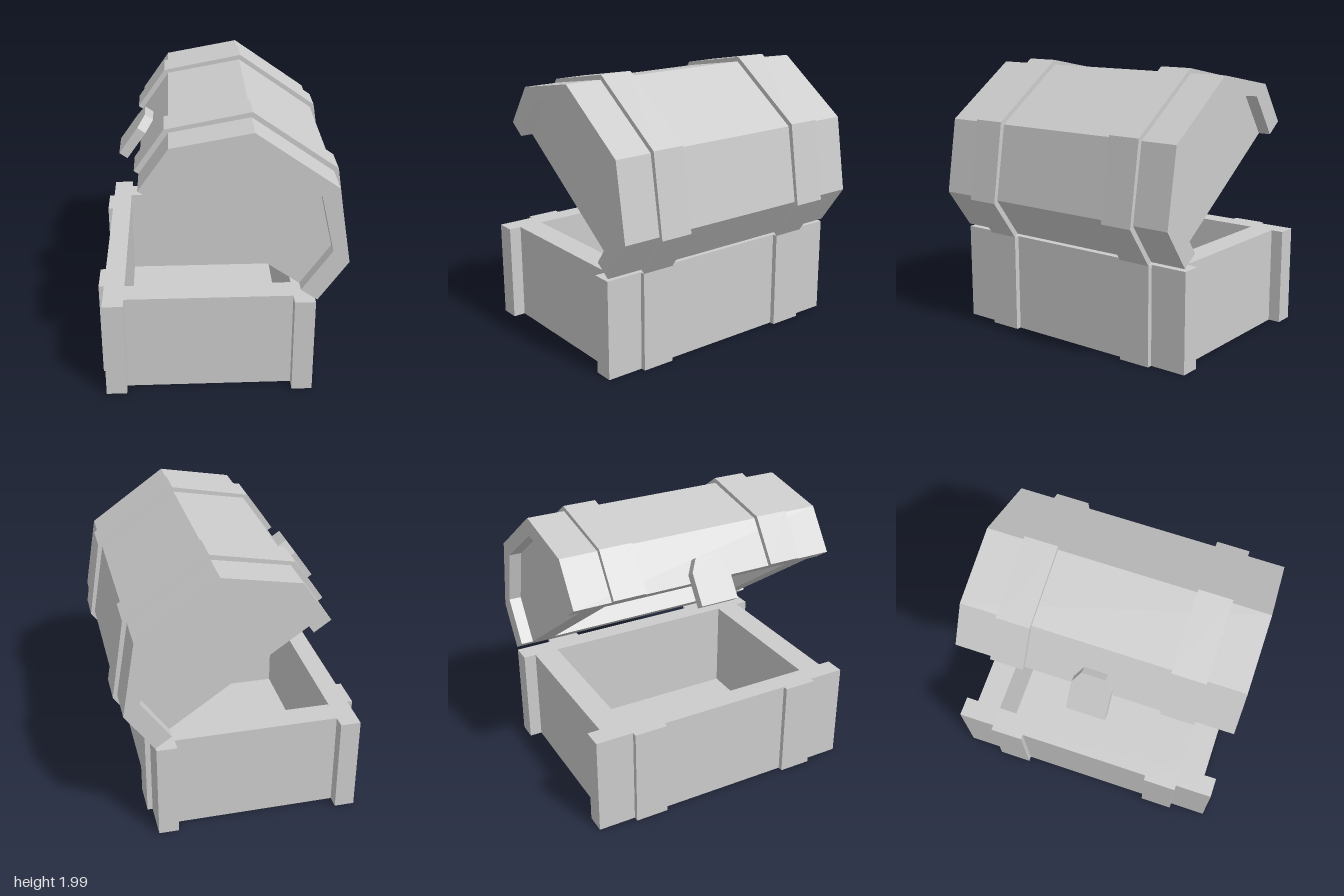
import * as THREE from 'three';

const material = new THREE.MeshStandardMaterial({ color: 0xcccccc, flatShading: true, side: THREE.DoubleSide });

function part(name, geometry) {
  const mesh = new THREE.Mesh(geometry, material);
  mesh.name = name;
  return mesh;
}

const toShape = (pts) => new THREE.Shape(pts.map(([x, y]) => new THREE.Vector2(x, y)));

// Mirror the right half of an arch profile onto the left
const arch = (half) => [...half, ...half.map(([x, y]) => [-x, y]).reverse()];

// Mirror one quarter of a plan outline into a full closed loop
function fullLoop(quarter) {
  const flip = (sx, sy) => quarter.map(([x, y]) => [x * sx, y * sy]);
  return [...quarter, ...flip(-1, 1).reverse(), ...flip(-1, -1), ...flip(1, -1).reverse()];
}

// Upright walls following a closed plan loop
function walls(loop, y0, y1) {
  const pos = [];
  loop.forEach(([ax, ay], i) => {
    const [bx, by] = loop[(i + 1) % loop.length];
    pos.push(ax, y0, -ay, bx, y0, -by, bx, y1, -by);
    pos.push(ax, y0, -ay, bx, y1, -by, ax, y1, -ay);
  });
  const g = new THREE.BufferGeometry();
  g.setAttribute('position', new THREE.Float32BufferAttribute(pos, 3));
  g.computeVertexNormals();
  return g;
}

// Extrude a profile between two z positions
function extrude(pts, z0, z1) {
  const g = new THREE.ExtrudeGeometry(toShape(pts), { depth: z1 - z0, bevelEnabled: false });
  return g.translate(0, 0, z0);
}

function createBase() {
  const base = new THREE.Group();
  base.name = 'base';
  const height = 0.715, floorY = 0.03;
  // Plan with raised bands on the long sides and recessed end walls
  const outer = fullLoop([[0.723, 0.49], [0.76, 0.49], [0.76, 0.73], [0.723, 0.73], [0.723, 1], [0.58, 1], [0.58, 0.91]]);
  const cavity = [[0.58, -0.73], [-0.58, -0.73], [-0.58, 0.73], [0.58, 0.73]];
  const rim = toShape(outer);
  rim.holes.push(new THREE.Path(cavity.map(([x, y]) => new THREE.Vector2(x, y))));
  base.add(
    part('outerWalls', walls(outer, 0, height)),
    part('innerWalls', walls(cavity, floorY, height)),
    part('rim', new THREE.ShapeGeometry(rim).rotateX(-Math.PI / 2).translate(0, height, 0)),
    part('floor', new THREE.PlaneGeometry(1.16, 1.46).rotateX(-Math.PI / 2).translate(0, floorY, 0)),
  );
  base.position.x = -0.104;
  return base;
}

function createLid() {
  const lid = new THREE.Group();
  lid.name = 'lid';
  const band = arch([[0.76, 0], [0.76, 0.351], [0.353, 0.773]]);
  const body = arch([[0.723, 0], [0.723, 0.35], [0.339, 0.74]]);
  const inner = arch([[0.583, 0], [0.583, 0.354], [0.276, 0.63]]);

  // Arched shell, open underneath
  lid.add(part('lidShell', extrude([...body, ...inner.slice().reverse()], -1, 1)));

  // Recessed end panels and raised bands
  for (const s of [-1, 1]) {
    const range = (a, b) => (s > 0 ? [a, b] : [-b, -a]);
    lid.add(part('lidEndPanel', extrude(inner, ...range(0.73, 0.91))));
    lid.add(part('lidBand', extrude([...band, ...body.slice().reverse()], ...range(0.49, 0.73))));
  }

  // Latch plate with clipped upper corners
  const latch = part('latch', extrude(arch([[0.14, -0.173], [0.14, 0.06], [0.085, 0.157]]), 0, 0.07));
  latch.rotation.y = -Math.PI / 2;
  latch.position.x = -0.723;
  lid.add(latch);

  // Swung open about the hinge edge
  lid.position.set(0.035, 1.1525, 0);
  lid.rotation.z = -0.614;
  return lid;
}

export function createModel() {
  const chest = new THREE.Group();
  chest.name = 'chest';
  chest.add(createBase(), createLid());
  return chest;
}
